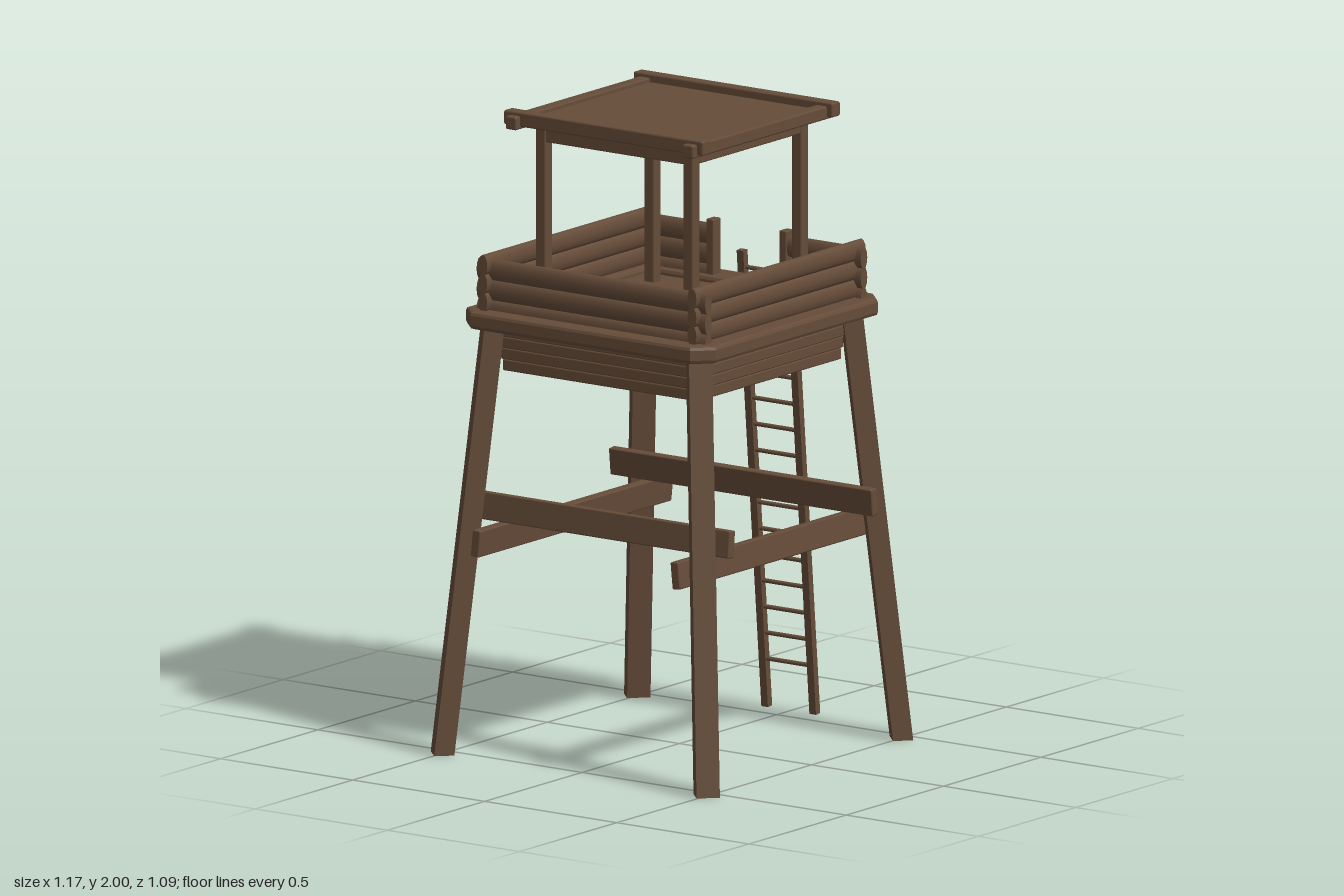
import * as THREE from 'three';
import { RoundedBoxGeometry } from 'three/addons/geometries/RoundedBoxGeometry.js';

const wood = new THREE.MeshStandardMaterial({ color: 0x664c39, roughness: 0.9 });
const V = (x, y, z) => new THREE.Vector3(x, y, z);

function add(parent, name, geometry, x = 0, y = 0, z = 0) {
  const mesh = new THREE.Mesh(geometry, wood);
  mesh.name = name;
  mesh.position.set(x, y, z);
  parent.add(mesh);
  return mesh;
}

// Squared timber with slightly eased edges
function beam(parent, name, w, h, d, x, y, z) {
  const r = Math.min(w, h, d) * 0.15;
  return add(parent, name, new RoundedBoxGeometry(w, h, d, 1, r), x, y, z);
}

// Oval log lying along x or z
function log(parent, name, axis, length, rx, ry, x, y, z) {
  const g = new THREE.CylinderGeometry(1, 1, length, 12);
  g.scale(rx, 1, ry);
  g.rotateX(Math.PI / 2);
  if (axis === 'x') g.rotateZ(0).rotateY(Math.PI / 2);
  return add(parent, name, g, x, y, z);
}

// Square outline with cut corners
function cutSquare(Type, h, c) {
  const pts = [[h, -h + c], [h, h - c], [h - c, h], [-h + c, h], [-h, h - c], [-h, -h + c], [-h + c, -h], [h - c, -h]];
  return new Type(pts.map(([x, y]) => new THREE.Vector2(x, y)));
}

export function createModel() {
  const model = new THREE.Group();
  model.name = 'watchtower';
  const tower = new THREE.Group();
  tower.name = 'tower';
  tower.position.x = -0.038;
  model.add(tower);

  // Splayed legs, turned 45 degrees at the corners
  for (const sx of [-1, 1]) for (const sz of [-1, 1]) {
    const g = new THREE.BoxGeometry(0.072, 1.36, 0.062);
    g.rotateY(Math.atan2(sx, sz));
    const p = g.attributes.position;
    for (let i = 0; i < p.count; i++) {
      const y = p.getY(i) + 0.68;
      const spread = 0.5 - 0.082 * y;
      p.setXYZ(i, p.getX(i) + sx * spread, y, p.getZ(i) + sz * spread);
    }
    g.computeVertexNormals();
    add(tower, 'leg', g);
  }

  // Cross braces leaning with the legs
  for (const s of [-1, 1]) {
    beam(tower, 'crossBrace', 0.995, 0.085, 0.03, 0, 0.67, s * 0.378).rotation.x = -s * 0.1;
    beam(tower, 'sideBrace', 0.03, 0.085, 0.995, s * 0.367, 0.76, 0).rotation.z = s * 0.1;
  }

  // Hollow skirt of stacked boards below the deck
  for (let i = 0; i < 4; i++) {
    const y = 1.208 + i * 0.036;
    const h = 0.37 + i * 0.004;
    for (const s of [-1, 1]) {
      beam(tower, 'skirtBoard', 2 * h, 0.036, 0.035, 0, y, s * (h - 0.0175));
      beam(tower, 'skirtBoard', 0.035, 0.036, 2 * h, s * (h - 0.0175), y, 0);
    }
  }

  // Deck rim with cut corners, and the floor inside it
  const rim = cutSquare(THREE.Shape, 0.461, 0.05);
  rim.holes.push(cutSquare(THREE.Path, 0.372, 0.01));
  const rimGeo = new THREE.ExtrudeGeometry(rim, { depth: 0.031, bevelSize: 0.012, bevelThickness: 0.012, bevelSegments: 2 });
  rimGeo.rotateX(-Math.PI / 2);
  add(tower, 'deckRim', rimGeo, 0, 1.342, 0);
  add(tower, 'floor', new THREE.BoxGeometry(0.78, 0.03, 0.78), 0, 1.35, 0);

  // Log parapet with interlocked corners and a doorway on the ladder side
  for (let i = 0; i < 3; i++) {
    const yF = 1.408 + i * 0.058;
    const yS = 1.382 + i * 0.063;
    for (const s of [-1, 1]) {
      log(tower, 'railLog', 'x', 0.87, 0.017, 0.033, 0, yF + 0.002, s * 0.396);
      log(tower, 'doorwayLog', 'z', 0.3, 0.017, 0.034, 0.4, yS, s * 0.282);
    }
    log(tower, 'railLog', 'z', 0.865, 0.017, 0.034, -0.4, yS, 0);
  }
  for (const s of [-1, 1]) beam(tower, 'doorPost', 0.04, 0.19, 0.028, 0.4, 1.463, s * 0.138);

  // Roof posts and the frame tying their heads together
  for (const sx of [-1, 1]) for (const sz of [-1, 1])
    beam(tower, 'roofPost', 0.038, 0.6, 0.038, sx * 0.279, 1.655, sz * 0.279);
  for (const s of [-1, 1]) {
    beam(tower, 'roofTie', 0.56, 0.045, 0.03, 0, 1.925, s * 0.279);
    beam(tower, 'roofTie', 0.03, 0.045, 0.56, s * 0.279, 1.925, 0);
    // Crossing edge beams
    beam(tower, 'roofBeam', 0.75, 0.042, 0.042, 0, 1.967, s * 0.335);
    beam(tower, 'roofBeam', 0.042, 0.046, 0.755, s * 0.333, 1.977, 0);
  }
  add(tower, 'roofPanel', new THREE.BoxGeometry(0.66, 0.025, 0.66), 0, 1.962, 0);

  // Leaning ladder
  const ladder = new THREE.Group();
  ladder.name = 'ladder';
  model.add(ladder);
  const foot = V(0.572, 0.003, 0), head = V(0.445, 1.45, 0);
  const tilt = Math.atan2(foot.x - head.x, head.y - foot.y);
  for (const s of [-1, 1]) {
    const rail = add(ladder, 'ladderRail', new THREE.BoxGeometry(0.022, foot.distanceTo(head), 0.025), (foot.x + head.x) / 2, (foot.y + head.y) / 2, s * 0.091);
    rail.rotation.z = tilt;
  }
  for (let i = 0; i < 16; i++) {
    const p = foot.clone().lerp(head, (0.152 + i * 0.083) / head.y);
    log(ladder, 'rung', 'z', 0.17, 0.007, 0.007, p.x, p.y, 0);
  }
  return model;
}
